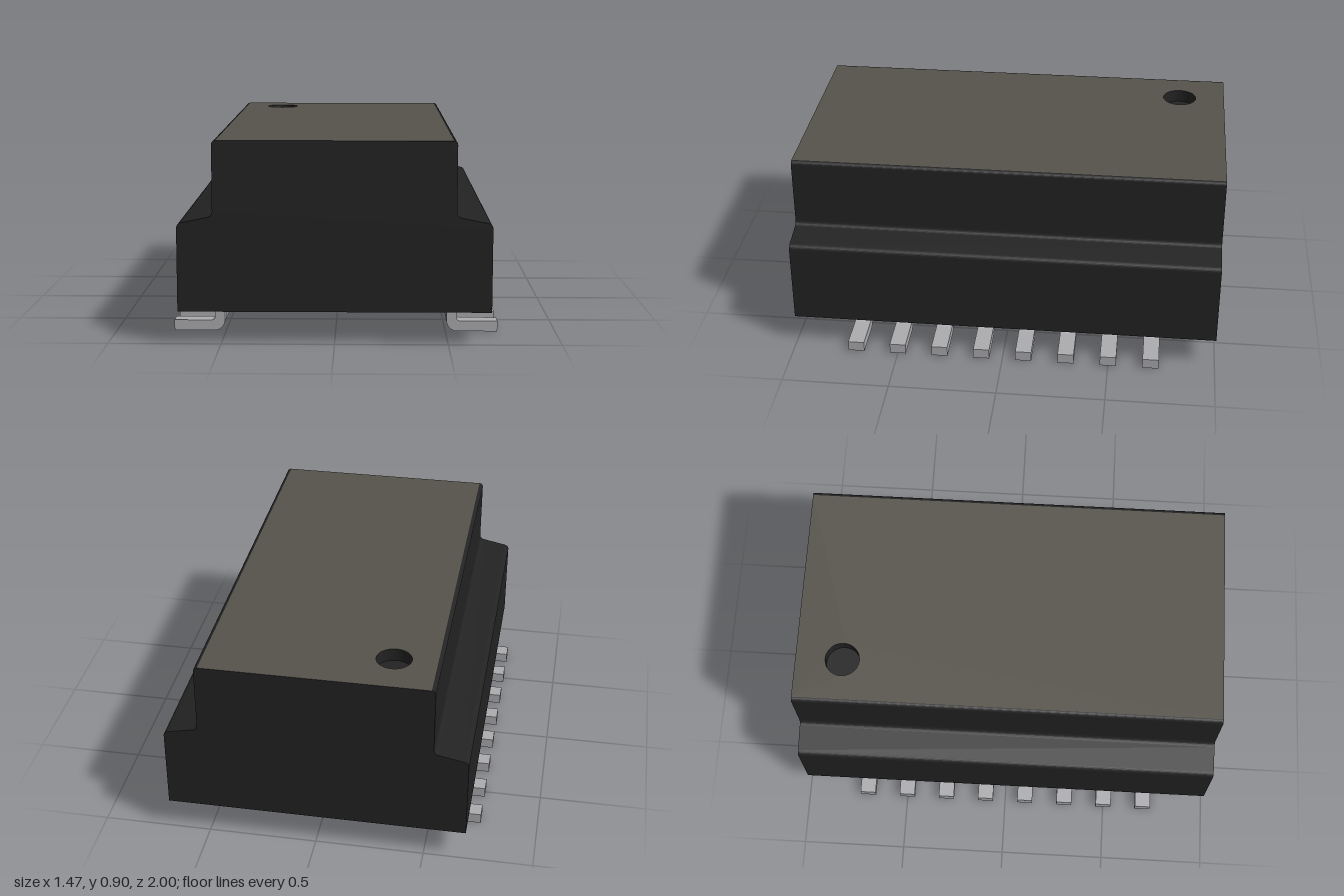
import * as THREE from 'three';

const LENGTH = 2, SPLIT = 0.84, TOP = 0.9;

// Extrude a front-view shape along z, centred on z = 0
function extrudeZ(shape, depth) {
  const g = new THREE.ExtrudeGeometry(shape, { depth, bevelEnabled: false, curveSegments: 6 });
  return g.translate(0, 0, -depth / 2);
}

export function createModel() {
  const dark = new THREE.MeshStandardMaterial({ color: 0x222222 });
  dark.name = 'black plastic';
  const grey = new THREE.MeshStandardMaterial({ color: 0x56524b });
  grey.name = 'warm grey top';
  const metal = new THREE.MeshStandardMaterial({ color: 0xacacb0 });
  metal.name = 'tinned metal';

  const model = new THREE.Group();
  model.name = 'surfaceMountTransformer';
  const add = (name, geometry, material, parent = model) => {
    const mesh = new THREE.Mesh(geometry, material);
    mesh.name = name;
    parent.add(mesh);
    return mesh;
  };

  // Stepped body with sloping shoulders, up to the floor of the index hole
  const body = new THREE.Shape();
  body.moveTo(-0.69, 0.145);
  body.lineTo(0.69, 0.145);
  body.lineTo(0.69, 0.515);
  body.quadraticCurveTo(0.69, 0.535, 0.67, 0.54);
  body.lineTo(0.553, 0.564);
  body.quadraticCurveTo(0.533, 0.568, 0.533, 0.59);
  body.lineTo(0.533, SPLIT);
  body.lineTo(-0.533, SPLIT);
  body.lineTo(-0.533, 0.59);
  body.quadraticCurveTo(-0.533, 0.568, -0.553, 0.564);
  body.lineTo(-0.67, 0.54);
  body.quadraticCurveTo(-0.69, 0.535, -0.69, 0.515);
  body.closePath();
  add('body', extrudeZ(body, LENGTH), dark);

  // Top slab pierced by the round index hole; the shape's y becomes -z
  const slab = new THREE.Shape();
  slab.moveTo(-0.515, -1);
  slab.lineTo(0.515, -1);
  slab.lineTo(0.515, 1);
  slab.lineTo(-0.515, 1);
  slab.closePath();
  const hole = new THREE.Path();
  hole.absarc(-0.32, 0.78, 0.08, 0, Math.PI * 2, true);
  slab.holes.push(hole);
  const slabGeo = new THREE.ExtrudeGeometry(slab, { depth: TOP - SPLIT, bevelEnabled: false, curveSegments: 24 });
  slabGeo.rotateX(-Math.PI / 2).translate(0, SPLIT, 0);
  add('topSlab', slabGeo, [grey, dark]);

  // Rounded long edges beside the slab
  for (const s of [1, -1]) {
    const edge = new THREE.Shape();
    edge.moveTo(s * 0.515, SPLIT);
    edge.lineTo(s * 0.533, SPLIT);
    edge.lineTo(s * 0.533, TOP - 0.018);
    edge.absarc(s * 0.515, TOP - 0.018, 0.018, s > 0 ? 0 : Math.PI, Math.PI / 2, s < 0);
    edge.closePath();
    add(s > 0 ? 'leftTopEdge' : 'rightTopEdge', extrudeZ(edge, LENGTH), dark);
  }

  // Bent leads, eight along each side
  const lead = new THREE.Shape();
  lead.moveTo(0.505, 0.15);
  lead.lineTo(0.505, 0.05);
  lead.absarc(0.555, 0.05, 0.05, Math.PI, Math.PI * 1.5, false);
  lead.lineTo(0.737, 0);
  lead.lineTo(0.737, 0.048);
  lead.lineTo(0.567, 0.048);
  lead.absarc(0.567, 0.063, 0.015, Math.PI * 1.5, Math.PI, true);
  lead.lineTo(0.552, 0.15);
  lead.closePath();
  const leadGeo = extrudeZ(lead, 0.076);
  for (const s of [1, -1]) {
    const row = new THREE.Group();
    row.name = s > 0 ? 'leftLeads' : 'rightLeads';
    if (s < 0) row.rotation.y = Math.PI;
    for (let i = 0; i < 8; i++) {
      add('lead', leadGeo, metal, row).position.z = -0.7 + i * 0.2;
    }
    model.add(row);
  }
  return model;
}
